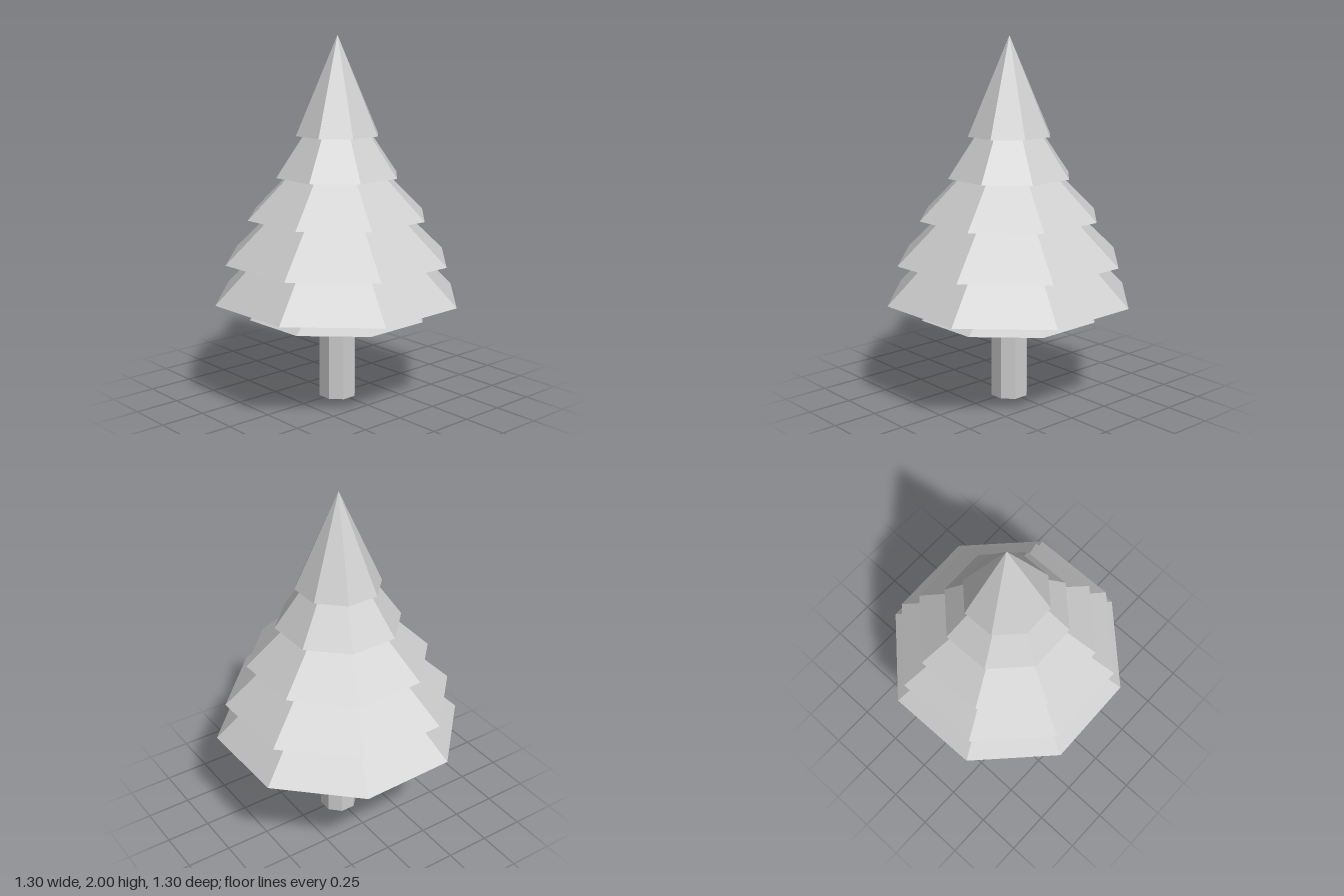
import * as THREE from 'three';

const SIDES = 8;
const TURN = THREE.MathUtils.degToRad(23.7);

// Each tier: height of rim, corner radius, height of the cone's tip
const TIERS = [
  [0.48, 0.505, 0.785],
  [0.58, 0.695, 1.27],
  [0.795, 0.635, 1.4],
  [1.03, 0.508, 1.53],
  [1.25, 0.348, 1.75],
  [1.47, 0.236, 2.0],
];

export function createModel() {
  const tree = new THREE.Group();
  tree.name = 'pineTree';
  const grey = new THREE.MeshStandardMaterial({ color: 0xcccccc, flatShading: true });
  grey.name = 'plainGrey';

  // Trunk
  const trunk = new THREE.Mesh(new THREE.CylinderGeometry(0.106, 0.106, 0.62, SIDES), grey);
  trunk.name = 'trunk';
  trunk.position.y = 0.31;
  trunk.rotation.y = Math.PI / SIDES;
  tree.add(trunk);

  // Branch tiers: eight-sided cones with a slightly hollowed underside
  TIERS.forEach(([rim, radius, tip], i) => {
    const profile = [
      new THREE.Vector2(0, rim + 0.18 * radius),
      new THREE.Vector2(radius, rim),
      new THREE.Vector2(0, tip),
    ];
    const tier = new THREE.Mesh(new THREE.LatheGeometry(profile, SIDES, TURN), grey);
    tier.name = `branchTier${i + 1}`;
    tree.add(tier);
  });

  return tree;
}
